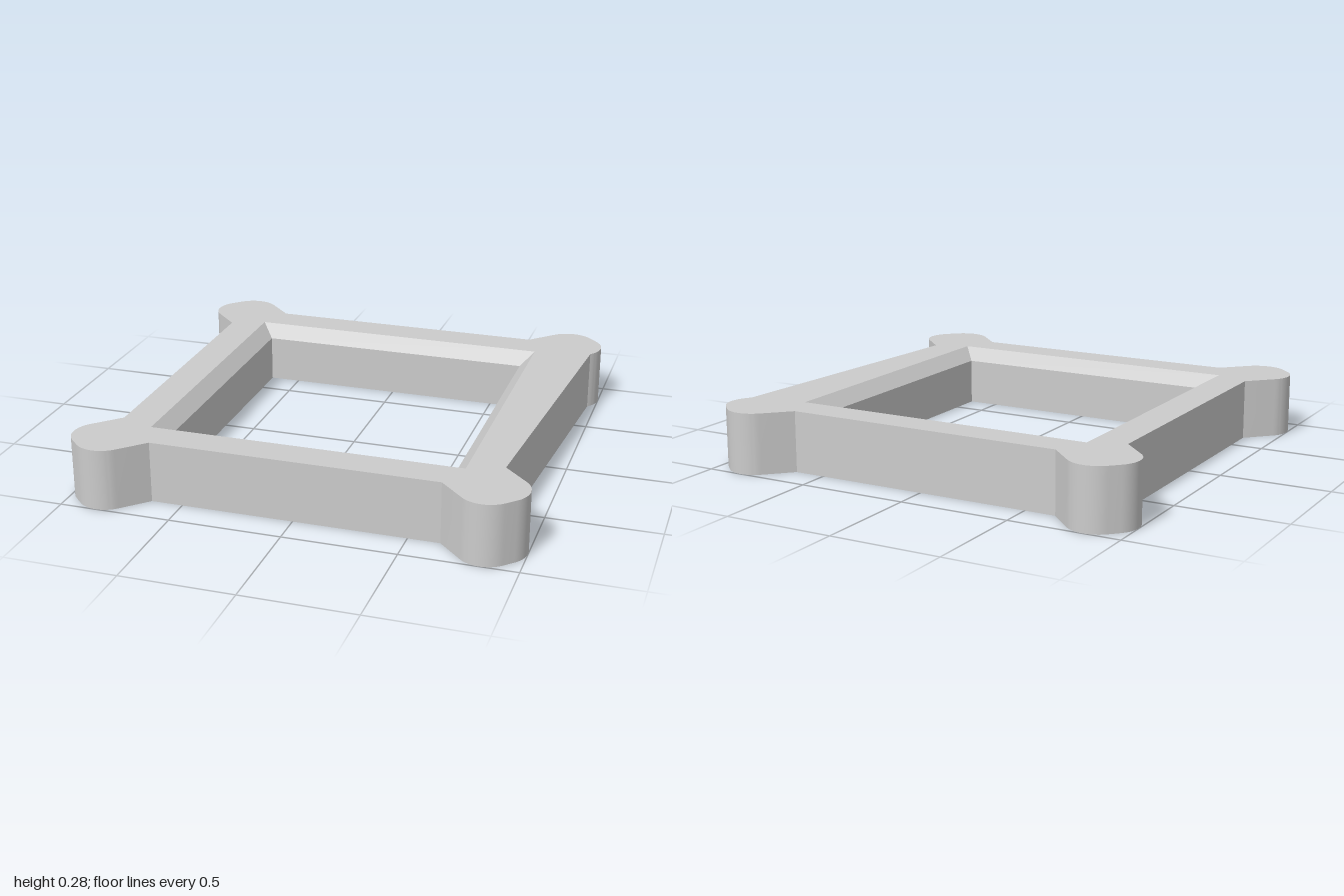
import * as THREE from 'three';
import { toCreasedNormals } from 'three/addons/utils/BufferGeometryUtils.js';

const HEIGHT = 0.275;
const WALL = 0.855;      // half width of the outer frame wall
const HOLE_TOP = 0.70;   // half width of the opening at the top face
const HOLE = 0.64;       // half width of the opening below the bevel
const BEVEL_Y = 0.215;

// Square frame outline with a rounded lug on every corner
function outline() {
  const shape = new THREE.Shape();
  const halfW = (WALL - HOLE) / Math.SQRT2, root = (WALL + HOLE) / Math.SQRT2;
  const tip = 1.335, r = 0.125;
  for (let k = 0; k < 4; k++) {
    const a = Math.PI / 4 + k * Math.PI / 2;
    const at = (u, v) => new THREE.Vector2(u, v).rotateAround(new THREE.Vector2(), a);
    const start = at(root, -halfW), end = at(root, halfW);
    const c1 = at(tip - r, r - halfW), c2 = at(tip - r, halfW - r);
    if (k === 0) shape.moveTo(start.x, start.y);
    else shape.lineTo(start.x, start.y);
    shape.absarc(c1.x, c1.y, r, a - Math.PI / 2, a);
    shape.absarc(c2.x, c2.y, r, a, a + Math.PI / 2);
    shape.lineTo(end.x, end.y);
  }
  return shape;
}

const square = (h) => [[h, -h], [h, h], [-h, h], [-h, -h]].map(([x, y]) => new THREE.Vector2(x, y));

// Surface between two rings of equal point count
function band(ringA, yA, ringB, yB) {
  const pos = [];
  const n = ringA.length;
  for (let i = 0; i < n; i++) {
    const j = (i + 1) % n;
    const a = [ringA[i].x, yA, -ringA[i].y], b = [ringA[j].x, yA, -ringA[j].y];
    const c = [ringB[j].x, yB, -ringB[j].y], d = [ringB[i].x, yB, -ringB[i].y];
    pos.push(...a, ...b, ...c, ...a, ...c, ...d);
  }
  const g = new THREE.BufferGeometry();
  g.setAttribute('position', new THREE.Float32BufferAttribute(pos, 3));
  return toCreasedNormals(g, 0.5);
}

export function createModel() {
  const group = new THREE.Group();
  group.name = 'corneredFrame';
  const material = new THREE.MeshStandardMaterial({ color: 0xcccccc, side: THREE.DoubleSide });
  const add = (name, geometry) => {
    const mesh = new THREE.Mesh(geometry, material);
    mesh.name = name;
    group.add(mesh);
  };

  const shape = outline();
  const ring = shape.getPoints(10);

  // Outer wall, open underneath
  add('outerWall', band(ring, 0, ring, HEIGHT));

  // Flat top face around the opening
  const face = new THREE.Shape(ring);
  face.holes.push(new THREE.Path(square(HOLE_TOP)));
  add('topFace', new THREE.ShapeGeometry(face).rotateX(-Math.PI / 2).translate(0, HEIGHT, 0));

  // Bevel and inner wall of the opening
  add('bevel', band(square(HOLE_TOP), HEIGHT, square(HOLE), BEVEL_Y));
  add('innerWall', band(square(HOLE), BEVEL_Y, square(HOLE), 0));
  return group;
}
